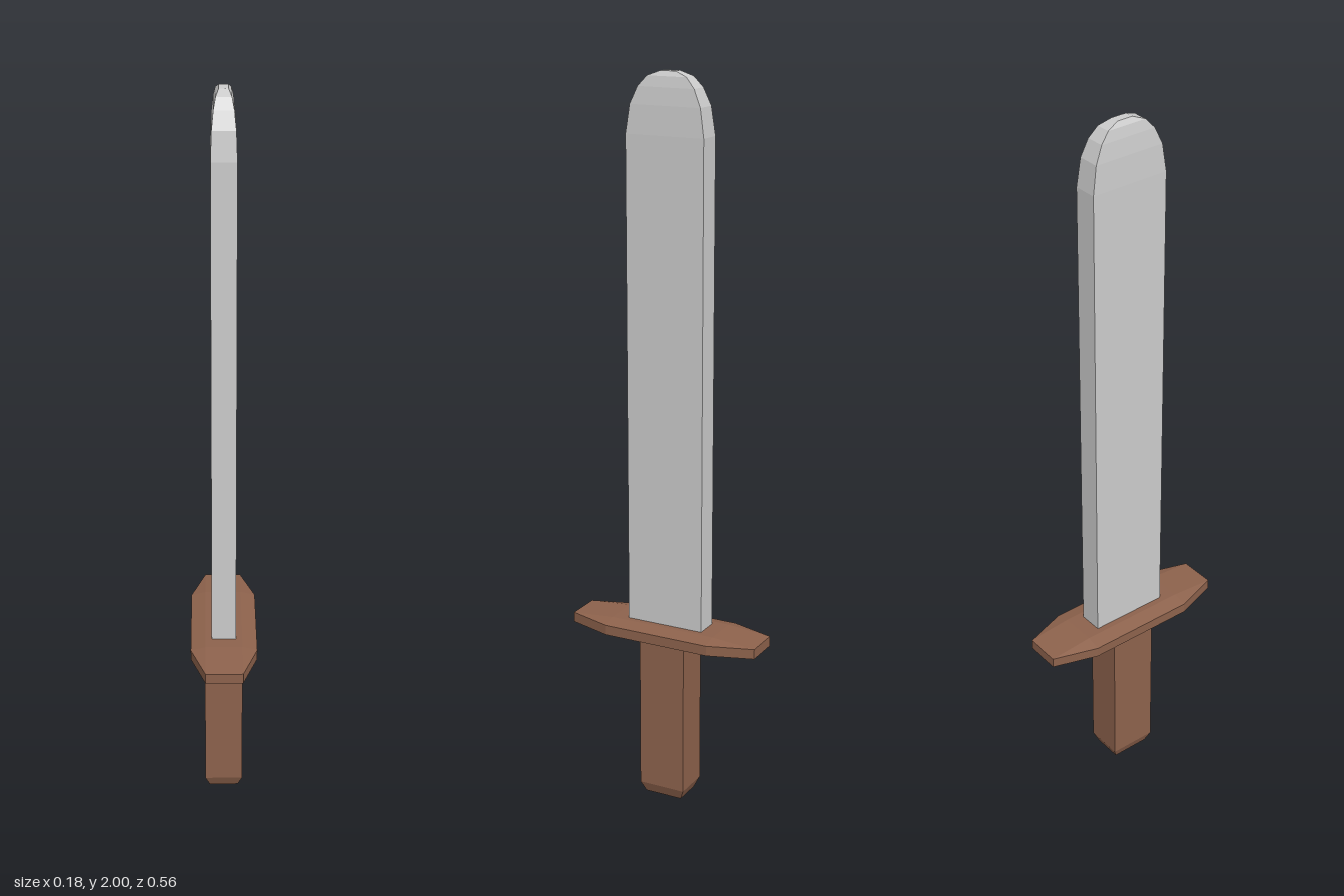
import * as THREE from 'three';

const steel = new THREE.MeshStandardMaterial({ color: 0xcccccc, flatShading: true });
const wood = new THREE.MeshStandardMaterial({ color: 0x8d624c, flatShading: true });

// Skin rings of equal length (counter-clockwise seen from the last ring) and cap both ends
function loft(name, rings, material) {
  const n = rings[0].length, last = (rings.length - 1) * n, index = [];
  for (let r = 0; r < rings.length - 1; r++) {
    for (let i = 0; i < n; i++) {
      const a = r * n + i, b = r * n + (i + 1) % n;
      index.push(a, b, b + n, a, b + n, a + n);
    }
  }
  for (let i = 1; i < n - 1; i++) {
    index.push(0, i + 1, i, last, last + i, last + i + 1);
  }
  const indexed = new THREE.BufferGeometry();
  indexed.setAttribute('position', new THREE.Float32BufferAttribute(rings.flat(2), 3));
  indexed.setIndex(index);
  const geometry = indexed.toNonIndexed();
  geometry.computeVertexNormals();
  const mesh = new THREE.Mesh(geometry, material);
  mesh.name = name;
  return mesh;
}

// Horizontal rectangle with half sizes x and z
const rect = (y, x, z) => [[x, y, z], [x, y, -z], [-x, y, -z], [-x, y, z]];

// Upright octagon across the guard: flat width, full width, flat and edge half heights
function guardSection(z, flat, wide, tall, edge) {
  const y = 0.489;
  return [
    [wide, y - edge, z], [wide, y + edge, z], [flat, y + tall, z], [-flat, y + tall, z],
    [-wide, y + edge, z], [-wide, y - edge, z], [-flat, y - tall, z], [flat, y - tall, z],
  ];
}

export function createModel() {
  const sword = new THREE.Group();
  sword.name = 'sword';

  // Grip with a chamfered foot
  sword.add(loft('grip', [rect(0, 0.04, 0.054), rect(0.03, 0.052, 0.067), rect(0.48, 0.052, 0.067)], wood));

  // Crossguard, thinning towards its edges and ends
  sword.add(loft('crossguard', [
    guardSection(-0.278, 0.05, 0.05, 0.014, 0.014),
    guardSection(-0.154, 0.05, 0.09, 0.024, 0.014),
    guardSection(0.154, 0.05, 0.09, 0.024, 0.014),
    guardSection(0.278, 0.05, 0.05, 0.014, 0.014),
  ], wood));

  // Blade with a rounded tip; the thickness narrows in step with the width
  const profile = [[0.5, 0.111], [1.84, 0.111], [1.915, 0.1], [1.96, 0.08], [1.987, 0.056], [2, 0.022]];
  sword.add(loft('blade', profile.map(([y, z]) => rect(y, 0.012 + (z - 0.022) * 0.236, z)), steel));

  return sword;
}
